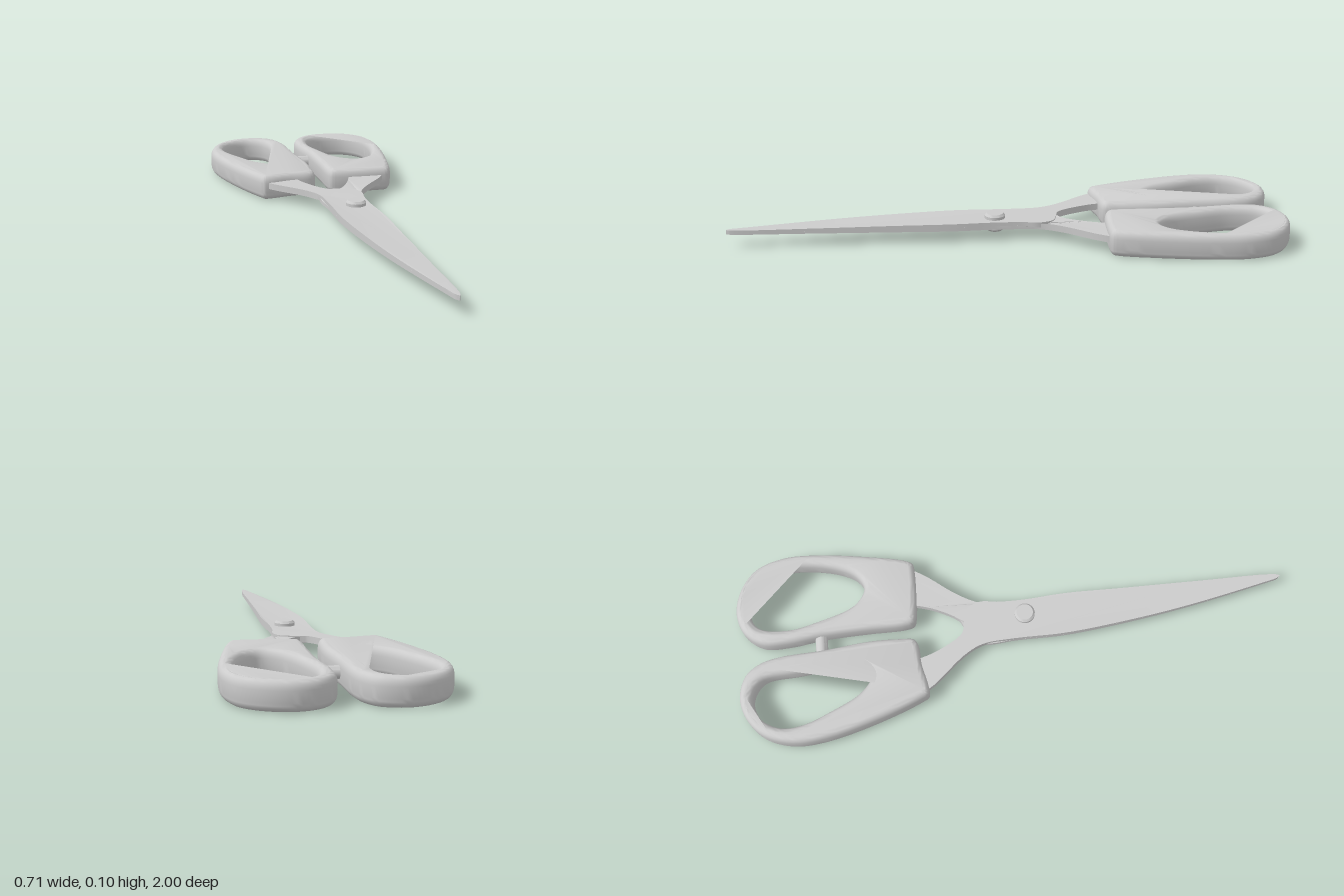
import * as THREE from 'three';
import { toCreasedNormals } from 'three/addons/utils/BufferGeometryUtils.js';

const material = new THREE.MeshStandardMaterial({ color: 0xcccccc });
const { lerp, smoothstep } = THREE.MathUtils;

// Smooth closed counter-clockwise outline through [x, z] points, in the shape plane (y = -z)
function outline(points, samples) {
  const curve = new THREE.CatmullRomCurve3(points.map(([x, z]) => new THREE.Vector3(x, -z, 0)), true, 'centripetal');
  const loop = curve.getPoints(samples).slice(0, -1).map((p) => new THREE.Vector2(p.x, p.y));
  return THREE.ShapeUtils.isClockWise(loop) ? loop.reverse() : loop;
}

// Extrude upward from the ground plane
function extrudeUp(shape, options) {
  return new THREE.ExtrudeGeometry(shape, options).rotateX(-Math.PI / 2);
}

function addMesh(parent, name, geometry, crease) {
  const mesh = new THREE.Mesh(toCreasedNormals(geometry, crease), material);
  mesh.name = name;
  parent.add(mesh);
  return mesh;
}

// Rounded finger loop with a solid lower grip
function handle(parent, name, rim, hole) {
  const shape = new THREE.Shape(outline(rim, 90));
  shape.holes.push(new THREE.Path(outline(hole, 64)));
  const bevel = 0.03;
  const geometry = extrudeUp(shape, {
    depth: 0.096 - 2 * bevel, bevelThickness: bevel, bevelSize: 0.022, bevelOffset: -0.022, bevelSegments: 5,
  });
  geometry.translate(0, bevel, 0);
  addMesh(parent, name, geometry, 0.9);
}

// Flat steel half: full thickness at the arm, half thickness past the crossing
function blade(parent, name, points, upper) {
  const geometry = extrudeUp(new THREE.Shape(outline(points, 110)), { depth: 1, bevelEnabled: false });
  const pos = geometry.attributes.position;
  const [armLow, armHigh] = upper ? [0.045, 0.069] : [0.042, 0.066];
  for (let i = 0; i < pos.count; i++) {
    const z = pos.getZ(i);
    const halved = smoothstep(z, -0.16, -0.05);
    const taper = smoothstep(z, 0.1, 1);
    const low = lerp(lerp(armLow, 0.046, taper), 0.0545, upper ? halved : 0);
    const high = lerp(lerp(armHigh, 0.062, taper), 0.0545, upper ? 0 : halved);
    pos.setY(i, lerp(low, high, pos.getY(i)));
  }
  addMesh(parent, name, geometry, 0.5);
}

export function createModel() {
  const model = new THREE.Group();
  model.name = 'scissors';

  handle(model, 'leftHandle',
    [[0.15, -1], [0.24, -0.98], [0.315, -0.92], [0.35, -0.82], [0.35, -0.7], [0.32, -0.5], [0.29, -0.37],
      [0.275, -0.345], [0.24, -0.34], [0.07, -0.35], [0.045, -0.36], [0.036, -0.39], [0.035, -0.53],
      [0.03, -0.69], [0.015, -0.82], [0.02, -0.91], [0.07, -0.975]],
    [[0.15, -0.955], [0.24, -0.94], [0.295, -0.88], [0.31, -0.77], [0.285, -0.63], [0.245, -0.555],
      [0.195, -0.53], [0.135, -0.57], [0.085, -0.71], [0.065, -0.82], [0.085, -0.92]]);
  handle(model, 'rightHandle',
    [[-0.17, -1], [-0.25, -0.98], [-0.32, -0.92], [-0.357, -0.82], [-0.352, -0.7], [-0.3, -0.5],
      [-0.245, -0.355], [-0.23, -0.33], [-0.2, -0.328], [-0.12, -0.345], [-0.04, -0.352], [-0.02, -0.365],
      [-0.014, -0.41], [-0.01, -0.52], [-0.025, -0.69], [-0.033, -0.85], [-0.05, -0.92], [-0.09, -0.975]],
    [[-0.18, -0.955], [-0.255, -0.93], [-0.298, -0.86], [-0.295, -0.78], [-0.255, -0.675], [-0.2, -0.57],
      [-0.145, -0.53], [-0.1, -0.56], [-0.09, -0.62], [-0.1, -0.79], [-0.115, -0.915]]);

  // Steel halves, each crossing from its handle to the shared tip
  const innerEdge = [[-0.056, 0], [-0.056, 0.18], [-0.035, 0.4], [0, 0.64], [0.062, 0.95], [0.071, 0.988]];
  const outerEdge = [[0.08, 1], [0.087, 0.98], [0.092, 0.7], [0.095, 0.4], [0.098, 0.2], [0.09, 0.05]];
  blade(model, 'upperBlade',
    [[-0.22, -0.4], [-0.225, -0.36], [-0.2, -0.31], [-0.1, -0.19], [-0.065, -0.12],
      ...innerEdge, ...outerEdge, [0.092, -0.05], [0.1, -0.11], [0.08, -0.16],
      [0.02, -0.18], [-0.015, -0.19], [-0.07, -0.28], [-0.095, -0.36], [-0.095, -0.4]],
    true);
  blade(model, 'lowerBlade',
    [[0.12, -0.4], [0.115, -0.36], [0.09, -0.28], [0.04, -0.195], [0.01, -0.18], [-0.05, -0.15], [-0.062, -0.1],
      ...innerEdge, ...outerEdge,
      [0.092, -0.05], [0.1, -0.12], [0.14, -0.195], [0.23, -0.31], [0.255, -0.36], [0.25, -0.4]],
    false);

  // Pivot screw with chamfered heads above and below
  const profile = [[0, 0.023], [0.027, 0.023], [0.037, 0.032], [0.037, 0.079], [0.03, 0.087], [0, 0.087]];
  const screw = addMesh(model, 'pivotScrew',
    new THREE.LatheGeometry(profile.map(([x, y]) => new THREE.Vector2(x, y)), 20), 0.6);
  screw.position.set(0.034, 0, 0.045);

  // Stop peg between the finger loops
  const peg = addMesh(model, 'stopPeg', new THREE.CylinderGeometry(0.022, 0.022, 0.075, 12).rotateZ(Math.PI / 2), 0.6);
  peg.position.set(0.002, 0.05, -0.7);

  return model;
}
